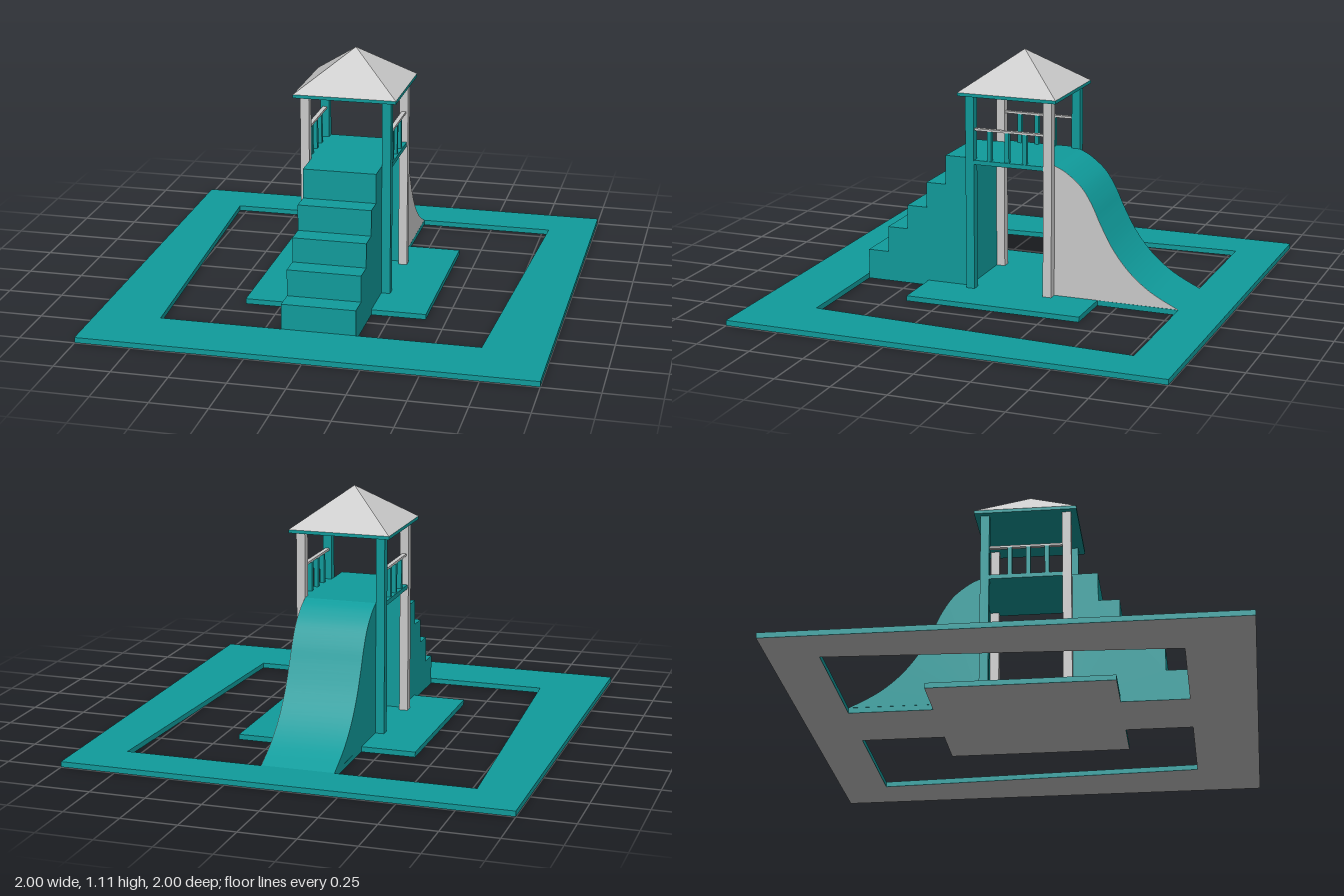
import * as THREE from 'three';
import { toCreasedNormals } from 'three/addons/utils/BufferGeometryUtils.js';

const teal = new THREE.MeshStandardMaterial({ color: 0x109c9c });
const grey = new THREE.MeshStandardMaterial({ color: 0xcccccc });
const greyFlat = new THREE.MeshStandardMaterial({ color: 0xcccccc, flatShading: true });

const BASE = 0.025;   // ground frame thickness
const HALF = 0.165;   // half width of stairs, slide and deck
const POST = 0.185;   // post centre offset
const DECK = 0.625;   // deck height

export function createModel() {
  const group = new THREE.Group();

  function add(name, geometry, material) {
    const mesh = new THREE.Mesh(geometry, material);
    mesh.name = name;
    group.add(mesh);
    return mesh;
  }
  function box(name, w, h, d, x, y, z, material = teal) {
    return add(name, new THREE.BoxGeometry(w, h, d).translate(x, y, z), material);
  }
  // Side profile, given as [z, y] points, extruded along x
  function profile(points, x0, x1) {
    const shape = new THREE.Shape(points.map(([z, y]) => new THREE.Vector2(-z, y)));
    const geometry = new THREE.ExtrudeGeometry(shape, { depth: x1 - x0, bevelEnabled: false });
    return geometry.rotateY(Math.PI / 2).translate(x0, 0, 0);
  }

  // Ground frame with central pad and paths, cut by two mirrored openings
  const toVec = ([x, z]) => new THREE.Vector2(x, z);
  const ground = new THREE.Shape([[-1, -1], [1, -1], [1, 1], [-1, 1]].map(toVec));
  const opening = [[HALF, -0.785], [0.785, -0.785], [0.71, 0.71], [HALF, 0.71],
    [HALF, 0.41], [0.41, 0.41], [0.41, -0.41], [HALF, -0.41]];
  for (const s of [1, -1]) {
    ground.holes.push(new THREE.Path(opening.map(([x, z]) => toVec([s * x, z]))));
  }
  add('groundFrame', new THREE.ExtrudeGeometry(ground, { depth: BASE - 0.001, bevelEnabled: false })
    .rotateX(Math.PI / 2).translate(0, BASE, 0), teal);
  add('groundUnderside', new THREE.ShapeGeometry(ground).rotateX(Math.PI / 2), grey);

  // Stairs: stepped solid rising from the front to the deck
  const steps = [[0.71, 0.14], [0.61, 0.26], [0.512, 0.372], [0.415, 0.49], [0.32, DECK]];
  const stairs = [[0.205, BASE], [0.71, BASE]];
  steps.forEach(([z, y], i) => {
    stairs.push([z, y], [i < steps.length - 1 ? steps[i + 1][0] : 0.205, y]);
  });
  add('stairs', profile(stairs, -HALF, HALF), teal);

  // Slide: smooth S-curve down the back, with a grey panel on the left side
  const curve = new THREE.SplineCurve([[-0.205, DECK], [-0.26, 0.598], [-0.33, 0.54], [-0.38, 0.465],
    [-0.42, 0.38], [-0.48, 0.27], [-0.56, 0.17], [-0.66, 0.09], [-0.785, BASE + 0.001]].map(toVec));
  const slide = curve.getPoints(40).map((p) => [p.x, p.y]);
  slide.push([-0.205, BASE]);
  add('slide', toCreasedNormals(profile(slide, -HALF, HALF - 0.002), 0.5), teal);
  add('slideSidePanel', profile(slide, HALF - 0.002, HALF), grey);

  // Deck between the posts
  box('deck', 2 * HALF, 0.02, 0.41, 0, DECK - 0.01, 0);

  // Corner posts, grey on one diagonal
  for (const x of [-1, 1]) {
    for (const z of [-1, 1]) {
      box('post', 0.04, 0.92 - BASE, 0.04, x * POST, (0.92 + BASE) / 2, z * POST, x * z < 0 ? grey : teal);
    }
  }

  // Railings on both sides
  for (const s of [-1, 1]) {
    box('deckEdge', 0.035, 0.02, 2 * HALF, s * 0.1825, DECK - 0.01, 0);
    box('handrail', 0.02, 0.01, 2 * HALF, s * POST, 0.765, 0, grey);
    for (const z of [-0.073, 0.011, 0.095]) {
      box('baluster', 0.02, 0.76 - DECK, 0.02, s * POST, (0.76 + DECK) / 2, z);
    }
  }

  // Roof: thin plate under a four-sided pyramid
  box('roofPlate', 0.464, 0.015, 0.464, 0, 0.9275, 0);
  add('roof', new THREE.ConeGeometry(0.232 * Math.SQRT2, 0.172, 4, 1, true)
    .rotateY(Math.PI / 4).translate(0, 1.021, 0), greyFlat);

  return group;
}
